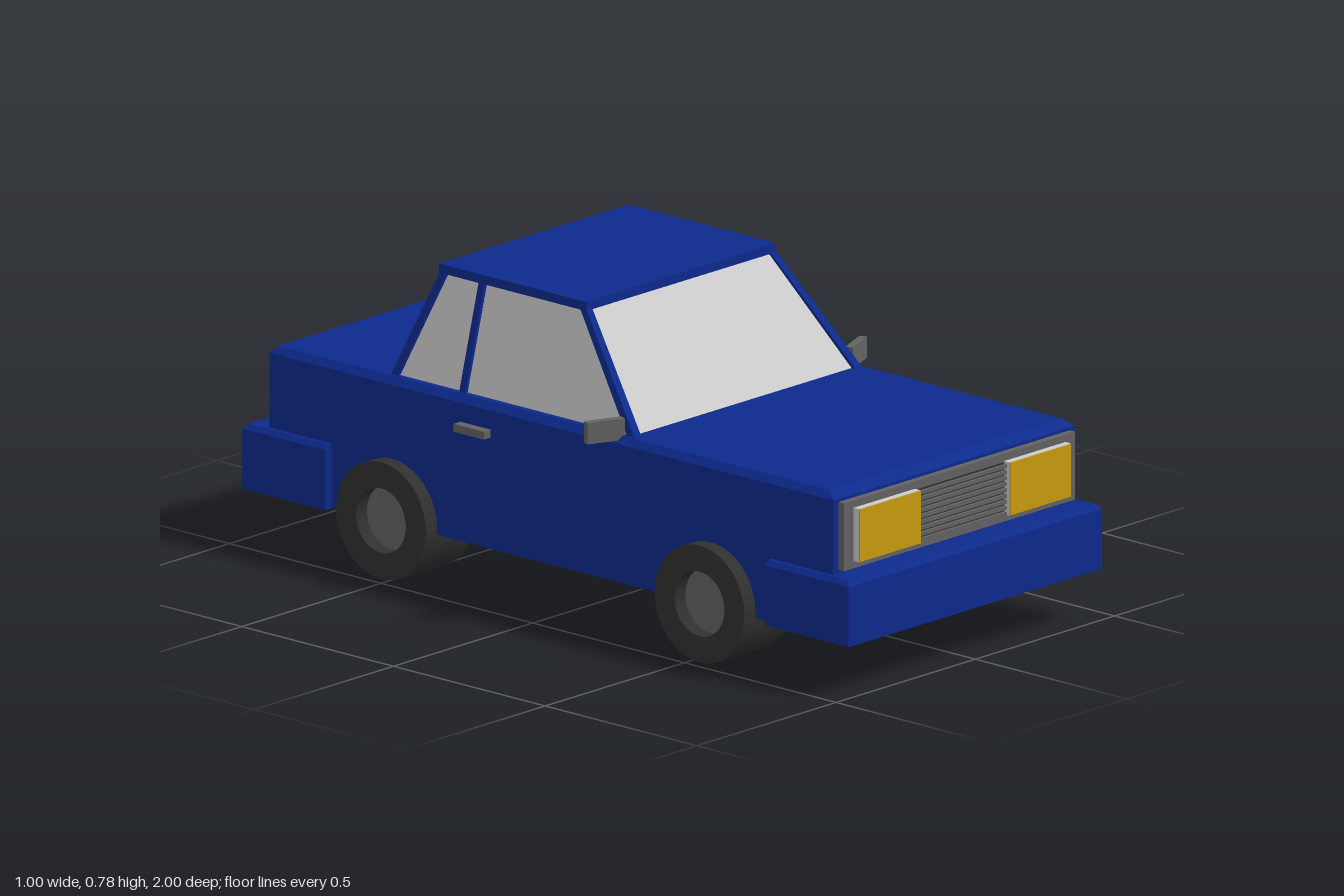
import * as THREE from 'three';

const paint = (color) => new THREE.MeshStandardMaterial({ color });
const BLUE = paint(0x0d2a8c), GLASS = paint(0xc0c0c0), GREY = paint(0x626262), DARK = paint(0x303030);
const AMBER = paint(0xc79a10), RED = paint(0x8c0a0a), LIGHT = paint(0xcccccc);

export function createModel() {
  const car = new THREE.Group();
  car.name = 'car';

  const add = (name, geometry, material) => {
    const mesh = new THREE.Mesh(geometry, material);
    mesh.name = name;
    car.add(mesh);
    return mesh;
  };

  const box = (name, material, w, h, d, x, y, z) => {
    const mesh = add(name, new THREE.BoxGeometry(w, h, d), material);
    mesh.position.set(x, y, z);
    return mesh;
  };

  // Box whose bottom and top rectangles [x0, x1, z0, z1] differ
  const taper = (name, material, y0, y1, bottom, top) => {
    const g = new THREE.BoxGeometry(1, 1, 1);
    const p = g.attributes.position;
    for (let i = 0; i < p.count; i++) {
      const r = p.getY(i) < 0 ? bottom : top;
      p.setXYZ(i, p.getX(i) < 0 ? r[0] : r[1], p.getY(i) < 0 ? y0 : y1, p.getZ(i) < 0 ? r[2] : r[3]);
    }
    g.computeVertexNormals();
    return add(name, g, material);
  };

  // Rectangle on the +x side, mirrored when side is -1
  const sided = (side, [x0, x1, z0, z1]) => (side > 0 ? [x0, x1, z0, z1] : [-x1, -x0, z0, z1]);

  // Body with a chamfered shoulder
  const hull = [-0.433, 0.433, -0.93, 0.93];
  taper('body', BLUE, 0.135, 0.485, hull, hull);
  taper('shoulder', BLUE, 0.485, 0.502, hull, [-0.415, 0.415, -0.915, 0.9]);

  // Bumpers with a chamfered upper edge
  for (const end of [1, -1]) {
    const z = [0.725 * end, end].sort((a, b) => a - b);
    const outline = [-0.455, 0.455, ...z];
    const inset = [-0.443, 0.443, z[0] + (end < 0 ? 0.012 : 0), z[1] - (end > 0 ? 0.012 : 0)];
    const name = end > 0 ? 'frontBumper' : 'rearBumper';
    taper(name, BLUE, 0.132, 0.284, outline, outline);
    taper(name + 'Top', BLUE, 0.284, 0.296, outline, inset);
  }

  // Cabin: glasshouse, roof and pillars
  taper('windows', GLASS, 0.5, 0.768, [-0.4, 0.4, -0.538, 0.24], [-0.328, 0.328, -0.44, 0.02]);
  box('roof', BLUE, 0.682, 0.023, 0.485, 0, 0.775, -0.212);
  for (const s of [1, -1]) {
    const pillar = (name, bottom, top) =>
      taper(name, BLUE, 0.498, 0.768, sided(s, bottom), sided(s, top));
    pillar('frontPillar', [0.386, 0.41, 0.23, 0.255], [0.32, 0.34, 0.008, 0.03]);
    pillar('middlePillar', [0.386, 0.409, -0.327, -0.307], [0.316, 0.337, -0.327, -0.307]);
    pillar('rearPillar', [0.386, 0.41, -0.552, -0.53], [0.32, 0.34, -0.452, -0.432]);
  }

  // Grille panel and slats
  box('grillePanel', GREY, 0.83, 0.172, 0.02, 0, 0.391, 0.938);
  box('grilleRecess', DARK, 0.315, 0.136, 0.004, 0, 0.388, 0.949);
  for (let i = 0; i < 9; i++) {
    box('grilleSlat', GREY, 0.315, 0.009, 0.012, 0, 0.328 + i * 0.015, 0.953);
  }

  // Wheel profile: tyre ring, open through the middle
  const tyre = new THREE.LatheGeometry(
    [[0.082, -0.089], [0.148, -0.089], [0.148, 0.089], [0.082, 0.089], [0.082, -0.089]]
      .map(([r, y]) => new THREE.Vector2(r, y)), 40).toNonIndexed();
  tyre.rotateZ(Math.PI / 2);
  tyre.computeVertexNormals();
  const hub = new THREE.CylinderGeometry(0.083, 0.083, 0.04, 40).rotateZ(Math.PI / 2);

  for (const s of [1, -1]) {
    // Lamps
    box('headlightHousing', LIGHT, 0.22, 0.135, 0.02, s * 0.27, 0.391, 0.955);
    box('headlight', AMBER, 0.218, 0.133, 0.004, s * 0.27, 0.391, 0.966);
    box('tailLight', RED, 0.22, 0.132, 0.03, s * 0.27, 0.393, -0.942).rotation.x = -0.06;

    // Mirrors and door handles
    box('mirror', GREY, 0.1, 0.054, 0.02, s * 0.452, 0.518, 0.192).rotation.y = s * 0.4;
    box('doorHandle', GREY, 0.03, 0.02, 0.1, s * 0.443, 0.427, -0.25);

    // Wheels with recessed hubs
    for (const z of [0.525, -0.525]) {
      const x = s * 0.39 + 0.006;
      add('tyre', tyre, DARK).position.set(x, 0.15, z);
      add('hub', hub, GREY).position.set(x + s * 0.03, 0.15, z);
    }
  }

  // Blank rear plate
  box('rearPlate', LIGHT, 0.21, 0.072, 0.008, 0, 0.212, -0.999);

  return car;
}
